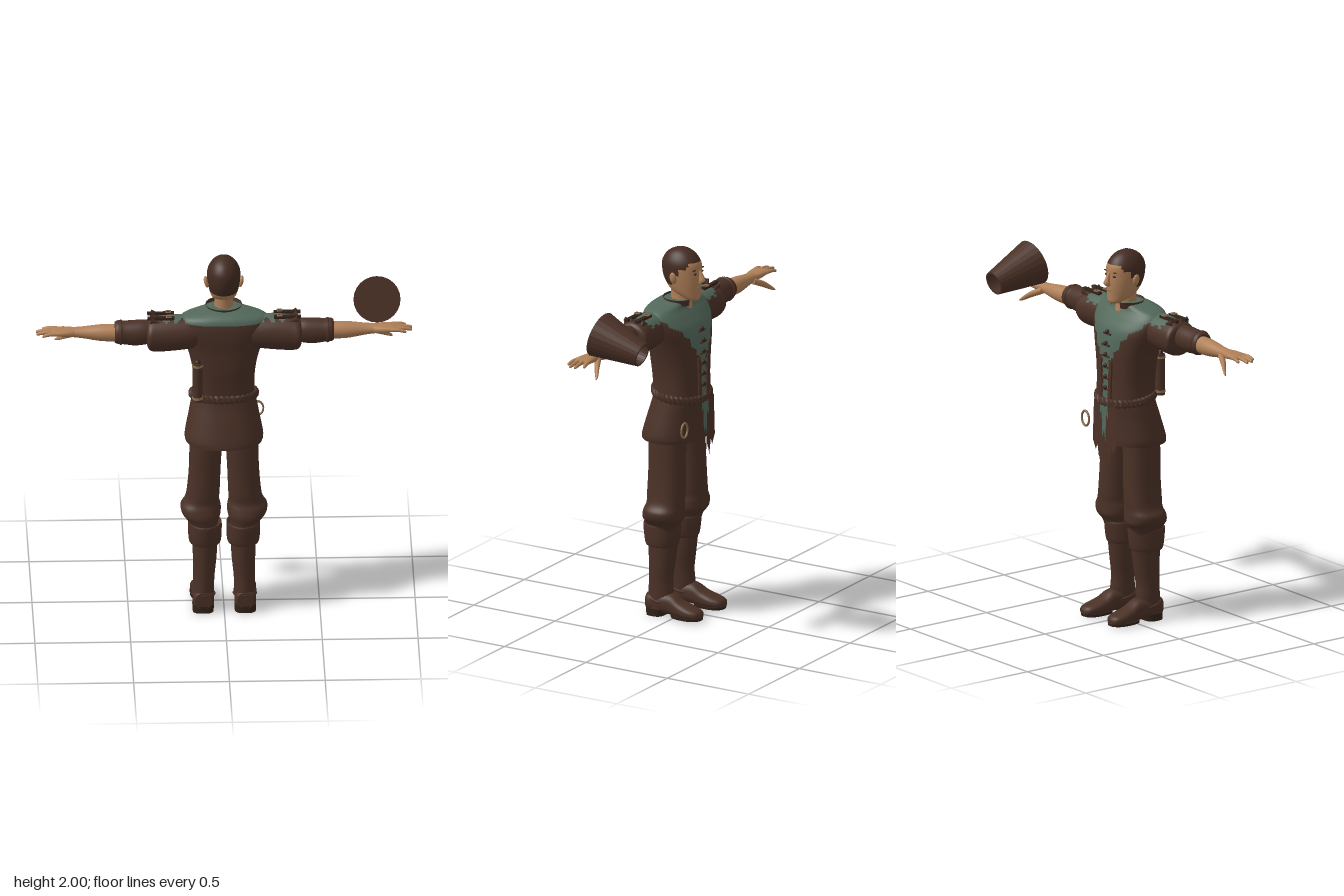
import * as THREE from 'three';

const mat = (name, color, side = THREE.FrontSide) => {
  const m = new THREE.MeshStandardMaterial({ color, side });
  m.name = name;
  return m;
};

// Skin a list of [t, centreA, centreB, radiusA, radiusB] superellipse sections along an axis.
// rule(x, y, z) picks the second material for a face.
function loft(axis, secs, { segs = 28, rings = 24, power = 2, cap = true, rule } = {}) {
  const at = (u) => {
    const f = u * (secs.length - 1), i = Math.min(Math.floor(f), secs.length - 2), t = f - i;
    const [p0, p1, p2, p3] = [-1, 0, 1, 2].map((d) => secs[THREE.MathUtils.clamp(i + d, 0, secs.length - 1)]);
    return p1.map((v, k) => {
      const a = (p2[k] - p0[k]) / 2, b = (p3[k] - v) / 2, d = p2[k] - v;
      return v + t * (a + t * (3 * d - 2 * a - b + t * (a + b - 2 * d)));
    });
  };
  const place = { x: (t, a, b) => [t, a, -b], y: (t, a, b) => [a, t, b], z: (t, a, b) => [a, -b, t] }[axis];
  const sb = axis === 'y' ? 1 : -1; // keeps every axis wound outwards
  const bend = (v) => Math.sign(v) * Math.abs(v) ** (2 / power);
  const pos = [], sets = [[], []];
  const ring = (s) => {
    for (let i = 0; i < segs; i++) {
      const w = (i / segs) * Math.PI * 2;
      pos.push(...place(s[0], s[1] + s[3] * bend(Math.cos(w)), sb * s[2] + s[4] * bend(Math.sin(w))));
    }
  };
  const face = (...ids) => {
    const c = [0, 1, 2].map((k) => ids.reduce((sum, id) => sum + pos[id * 3 + k], 0) / ids.length);
    const set = sets[rule && rule(...c) ? 1 : 0];
    for (let k = 1; k < ids.length - 1; k++) set.push(ids[0], ids[k], ids[k + 1]);
  };
  for (let j = 0; j <= rings; j++) ring(at(j / rings));
  for (let j = 0; j < rings; j++) for (let i = 0; i < segs; i++) {
    const n = (i + 1) % segs, a = j * segs;
    face(a + i, a + segs + i, a + segs + n, a + n);
  }
  if (cap) [secs[0], secs[secs.length - 1]].forEach((s, end) => {
    const base = pos.length / 3;
    ring(s);
    pos.push(...place(s[0], s[1], sb * s[2]));
    for (let i = 0; i < segs; i++) {
      const p = base + i, q = base + ((i + 1) % segs);
      end ? face(base + segs, q, p) : face(base + segs, p, q);
    }
  });
  const g = new THREE.BufferGeometry();
  g.setAttribute('position', new THREE.Float32BufferAttribute(pos, 3));
  g.setIndex([...sets[0], ...sets[1]]);
  if (rule) {
    g.addGroup(0, sets[0].length, 0);
    g.addGroup(sets[0].length, sets[1].length, 1);
  }
  g.computeVertexNormals();
  return g;
}

function mirrored(geo) {
  const g = geo.clone().scale(-1, 1, 1), ix = g.index;
  for (let i = 0; i < ix.count; i += 3) {
    const a = ix.getX(i);
    ix.setX(i, ix.getX(i + 1));
    ix.setX(i + 1, a);
  }
  return g;
}

const zigzag = (v) => Math.abs((((v % 1) + 1) % 1) * 2 - 1);
const ramp = THREE.MathUtils.mapLinear;

export function createModel() {
  const root = new THREE.Group();
  root.name = 'figure';
  const leather = mat('leather brown', 0x4a3126, THREE.DoubleSide);
  const hair = mat('hair brown', 0x432b21);
  const skin = mat('skin', 0xb08058);
  const green = mat('shirt green', 0x52685a, THREE.DoubleSide);
  const brass = mat('dull brass', 0x8c7052);
  const dark = mat('dark trim', 0x33221b, THREE.DoubleSide);

  const add = (name, geo, material) => {
    const m = new THREE.Mesh(geo, material);
    m.name = name;
    root.add(m);
    return m;
  };
  const pair = (name, geo, material) => {
    add('left' + name, geo, material);
    add('right' + name, mirrored(geo), material);
  };

  // Head, face pointing to -z, with close-cropped hair
  add('head', loft('y', [
    [1.72, 0, -0.045, 0.02, 0.02], [1.735, 0, -0.03, 0.045, 0.045], [1.77, 0, 0.005, 0.066, 0.083],
    [1.82, 0, 0.022, 0.079, 0.103], [1.87, 0, 0.03, 0.086, 0.11], [1.92, 0, 0.032, 0.085, 0.108],
    [1.96, 0, 0.034, 0.067, 0.085], [1.985, 0, 0.034, 0.042, 0.052], [2, 0, 0.034, 0.008, 0.01],
  ], { segs: 48, rings: 56, rule: (x, y, z) => y > (z > 0.05 ? 1.805 : z > 0 ? 1.86 : z > -0.04 ? 1.9 : 1.935) }), [skin, hair]);
  add('neck', loft('y', [[1.65, 0, 0.035, 0.062, 0.065], [1.72, 0, 0.035, 0.05, 0.056], [1.82, 0, 0.04, 0.05, 0.056]]), skin);
  add('nose', loft('y', [[1.82, 0, -0.085, 0.016, 0.012], [1.835, 0, -0.092, 0.017, 0.02], [1.86, 0, -0.087, 0.011, 0.014],
    [1.89, 0, -0.078, 0.007, 0.006]], { segs: 12, rings: 10 }), skin);
  add('mouth', new THREE.SphereGeometry(1, 12, 8).scale(0.022, 0.005, 0.006).translate(0, 1.795, -0.078), brass);
  pair('Ear', new THREE.SphereGeometry(1, 14, 10).scale(0.012, 0.033, 0.02).rotateZ(-0.2).translate(0.091, 1.85, 0.03), skin);
  pair('Eye', new THREE.SphereGeometry(1, 12, 8).scale(0.013, 0.006, 0.005).translate(0.033, 1.873, -0.07), dark);
  pair('Brow', new THREE.SphereGeometry(1, 12, 8).scale(0.02, 0.004, 0.006).translate(0.035, 1.893, -0.068), hair);

  // Torso: jerkin torn open over a green shirt
  const opening = (y) => (y < 1.42 ? 0.028 : y < 1.55 ? ramp(y, 1.42, 1.55, 0.03, 0.12) : ramp(y, 1.55, 1.66, 0.12, 0.24));
  add('jerkin', loft('y', [
    [1.19, 0, 0.03, 0.163, 0.132], [1.3, 0, 0.035, 0.16, 0.135], [1.4, 0, 0.04, 0.17, 0.14], [1.5, 0, 0.044, 0.195, 0.14],
    [1.58, 0, 0.055, 0.225, 0.137], [1.64, 0, 0.072, 0.24, 0.12], [1.685, 0, 0.082, 0.215, 0.1],
    [1.71, 0, 0.07, 0.13, 0.085], [1.722, 0, 0.045, 0.07, 0.065],
  ], { segs: 72, rings: 64, power: 2.4, rule: (x, y, z) => (z > 0.07 ? y > 1.662
    : Math.abs(x) < opening(y) + 0.02 * zigzag(y * 18) - 0.01) }), [leather, green]);
  for (let i = 0; i < 6; i++) {
    const y = 1.27 + i * 0.06;
    add('button', new THREE.SphereGeometry(0.012, 12, 8).translate(0, y, i < 5 ? -0.1 : -0.09), dark);
    add('buttonLoop', new THREE.BoxGeometry(0.06, 0.01, 0.008).translate(0, y - 0.01, i < 5 ? -0.1 : -0.09), leather);
  }
  // Open collar
  const collar = new THREE.CylinderGeometry(0.095, 0.085, 0.035, 36, 1, true, Math.PI + 0.45, Math.PI * 2 - 0.9);
  add('collar', collar.scale(1, 1, 0.95).translate(0, 1.712, 0.04), leather);
  // Ragged lapels beside the shirt
  pair('Lapel', new THREE.BoxGeometry(0.022, 0.22, 0.01).rotateZ(-0.04).translate(0.04, 1.31, -0.102), leather);

  // Short outer sleeves, turned-back inner sleeves, forearms
  pair('ShoulderSleeve', loft('x', [
    [0.12, 1.6, 0.09, 0.09, 0.08], [0.2, 1.595, 0.094, 0.092, 0.09], [0.27, 1.592, 0.095, 0.096, 0.093],
    [0.35, 1.588, 0.096, 0.096, 0.095], [0.385, 1.588, 0.097, 0.088, 0.096], [0.4, 1.592, 0.097, 0.07, 0.085], [0.405, 1.597, 0.1, 0.055, 0.055],
  ], { segs: 48, rings: 44, rule: (x, y, z) => x < 0.31 + 0.035 * zigzag(z * 22) && y > (z > 0.1 ? 1.665 : 1.635) + 0.02 * zigzag(x * 18) }), [leather, green]);
  pair('RolledSleeve', loft('x', [
    [0.37, 1.6, 0.1, 0.058, 0.055], [0.42, 1.6, 0.104, 0.067, 0.06], [0.47, 1.598, 0.105, 0.068, 0.061], [0.52, 1.6, 0.105, 0.063, 0.059],
    [0.555, 1.602, 0.104, 0.062, 0.06], [0.572, 1.6, 0.102, 0.053, 0.052], [0.565, 1.6, 0.1, 0.04, 0.04],
  ]), leather);
  pair('SleeveFold', new THREE.TorusGeometry(0.059, 0.008, 8, 28).rotateY(Math.PI / 2).translate(0.54, 1.601, 0.105), leather);
  pair('Forearm', loft('x', [
    [0.54, 1.597, 0.1, 0.046, 0.046], [0.64, 1.597, 0.097, 0.044, 0.045], [0.74, 1.599, 0.094, 0.03, 0.035], [0.82, 1.602, 0.094, 0.022, 0.032],
  ]), skin);
  // Hands
  pair('Palm', loft('x', [
    [0.78, 1.6, 0.094, 0.023, 0.033], [0.83, 1.604, 0.094, 0.02, 0.044], [0.88, 1.606, 0.096, 0.015, 0.046], [0.91, 1.605, 0.096, 0.008, 0.04],
  ], { power: 2.5 }), skin);
  [[0.95, 0.058, 0.046], [0.982, 0.083, 0.08], [0.98, 0.108, 0.11], [0.95, 0.131, 0.14]].forEach(([tip, z0, z1]) =>
    pair('Finger', loft('x', [[0.87, 1.606, z0, 0.011, 0.012], [(0.87 + tip) / 2, 1.607, (z0 + z1) / 2, 0.01, 0.011],
      [tip - 0.006, 1.6, z1, 0.008, 0.008], [tip, 1.598, z1, 0.003, 0.003]], { segs: 12, rings: 9 }), skin));
  pair('Thumb', loft('x', [
    [0.76, 1.59, 0.075, 0.018, 0.02], [0.82, 1.562, 0.045, 0.018, 0.016], [0.862, 1.533, 0.02, 0.011, 0.01], [0.882, 1.52, 0.01, 0.004, 0.004],
  ], { segs: 14, rings: 12 }), skin);

  // Shoulder straps with buckles
  [0.065, 0.125].forEach((z) => {
    pair('ShoulderStrap', new THREE.BoxGeometry(0.14, 0.014, 0.022).translate(0.33, 1.688, z), dark);
    pair('StrapBuckle', new THREE.TorusGeometry(0.016, 0.004, 6, 4).rotateZ(Math.PI / 4).rotateX(Math.PI / 2).translate(0.29, 1.698, z), brass);
  });
  // Torn shoulder flaps
  for (let i = 0; i < 4; i++)
    pair('TornFlap', new THREE.ConeGeometry(0.018, 0.07, 4).scale(1, 1, 0.4).rotateZ(1.9).translate(0.35, 1.672, 0.04 + i * 0.035), leather);

  // Jerkin skirt, split at the front with tattered ends
  add('jerkinSkirt', loft('y', [
    [0.965, 0, 0.068, 0.2, 0.16], [1.0, 0, 0.065, 0.205, 0.158], [1.1, 0, 0.05, 0.186, 0.145], [1.18, 0, 0.035, 0.17, 0.137], [1.24, 0, 0.03, 0.158, 0.13],
  ], { segs: 48, power: 2.2, cap: false }), leather);
  const tatter = (pts) => new THREE.ShapeGeometry(new THREE.Shape(pts.map((p) => new THREE.Vector2(...p))));
  pair('SkirtFlap', tatter([[0.012, 1.19], [0.09, 1.19], [0.1, 0.97], [0.075, 0.92], [0.06, 0.95], [0.045, 0.87], [0.03, 0.93], [0.018, 0.9]])
    .translate(0, 0, -0.108), leather);
  add('shirtTail', tatter([[-0.03, 1.21], [0.03, 1.21], [0.035, 1.12], [0.02, 1.14], [0.014, 1.0], [0, 1.04], [-0.012, 0.98], [-0.02, 1.13], [-0.035, 1.1]])
    .translate(0, 0, -0.112), green);

  // Braided belt
  for (let s = 0; s < 2; s++) {
    const pts = Array.from({ length: 144 }, (_, i) => {
      const w = (i / 144) * Math.PI * 2, b = w * 18 + s * Math.PI, r = 0.006 * Math.cos(b);
      const z = 0.032 + (0.138 + r) * Math.sin(w);
      return new THREE.Vector3((0.168 + r) * Math.cos(w), 1.212 + 0.14 * (z - 0.03) + 0.014 * Math.sin(b), z);
    });
    add('beltStrand', new THREE.TubeGeometry(new THREE.CatmullRomCurve3(pts, true), 288, 0.011, 6, true), leather);
  }
  add('beltRing', new THREE.TorusGeometry(0.036, 0.006, 8, 28).scale(0.85, 1.1, 1).translate(0.18, 1.06, -0.095), brass);

  // Sheath on the right of the back
  add('sheath', new THREE.CylinderGeometry(0.026, 0.026, 0.22, 16).translate(-0.14, 1.33, 0.15), leather);
  [1.24, 1.425].forEach((y) => add('sheathBand', new THREE.CylinderGeometry(0.029, 0.029, 0.012, 16).translate(-0.14, y, 0.15), brass));
  add('sheathTop', new THREE.SphereGeometry(0.018, 12, 8).translate(-0.14, 1.44, 0.15), dark);

  // Trousers bunched at the knee
  pair('Trouser', loft('y', [
    [0.47, 0.105, 0.08, 0.072, 0.085], [0.51, 0.11, 0.078, 0.08, 0.095], [0.545, 0.118, 0.07, 0.1, 0.11], [0.585, 0.122, 0.065, 0.105, 0.106],
    [0.62, 0.115, 0.06, 0.09, 0.1], [0.67, 0.108, 0.06, 0.086, 0.102], [0.8, 0.1, 0.06, 0.083, 0.1], [0.95, 0.094, 0.062, 0.085, 0.1], [1.12, 0.085, 0.05, 0.082, 0.1],
  ], { rings: 36, power: 2.3 }), leather);
  // Boots
  pair('BootCuff', loft('y', [
    [0.41, 0.1, 0.088, 0.066, 0.075], [0.385, 0.1, 0.09, 0.078, 0.085], [0.41, 0.1, 0.09, 0.086, 0.094], [0.48, 0.1, 0.09, 0.088, 0.103],
    [0.503, 0.1, 0.09, 0.085, 0.1], [0.49, 0.1, 0.088, 0.07, 0.08],
  ]), leather);
  pair('BootShaft', loft('y', [
    [0.04, 0.11, 0.098, 0.056, 0.066], [0.12, 0.108, 0.093, 0.055, 0.07], [0.2, 0.105, 0.094, 0.056, 0.066], [0.3, 0.101, 0.089, 0.062, 0.074], [0.41, 0.1, 0.085, 0.066, 0.083],
  ]), leather);
  pair('BootFoot', loft('z', [
    [-0.16, 0.118, 0.03, 0.016, 0.012], [-0.145, 0.117, 0.036, 0.042, 0.024], [-0.1, 0.116, 0.042, 0.057, 0.032], [-0.04, 0.113, 0.052, 0.055, 0.042],
    [0.01, 0.11, 0.068, 0.052, 0.056], [0.06, 0.11, 0.072, 0.055, 0.055], [0.14, 0.11, 0.07, 0.055, 0.05], [0.165, 0.11, 0.07, 0.042, 0.045],
  ], { power: 2.5 }), leather);
  pair('BootSole', loft('y', [[0.008, 0.115, -0.07, 0.058, 0.088], [0.022, 0.115, -0.07, 0.06, 0.09]], { rings: 1, power: 2.4 }), dark);
  pair('BootHeel', loft('y', [[0, 0.11, 0.115, 0.055, 0.05], [0.04, 0.11, 0.112, 0.057, 0.054]], { rings: 1, power: 3 }), dark);
  pair('AnkleStrap', new THREE.TorusGeometry(0.062, 0.007, 6, 28).rotateX(Math.PI / 2).scale(0.93, 1, 1.15).rotateX(-0.2).translate(0.108, 0.085, 0.092), leather);

  // Bucket above the left hand: closed wide end, open narrow end
  const wall = new THREE.LatheGeometry([[0.001, 0], [0.123, 0], [0.123, 0.001], [0.064, 0.268], [0.054, 0.268], [0.1, 0.02], [0.001, 0.02]]
    .map((p) => new THREE.Vector2(...p)), 24).toNonIndexed();
  wall.computeVertexNormals();
  const bucket = add('bucket', wall, leather);
  bucket.position.set(0.8, 1.74, 0.038);
  bucket.quaternion.setFromUnitVectors(new THREE.Vector3(0, 1, 0), new THREE.Vector3(0, -0.07, -0.26).normalize());

  return root;
}
